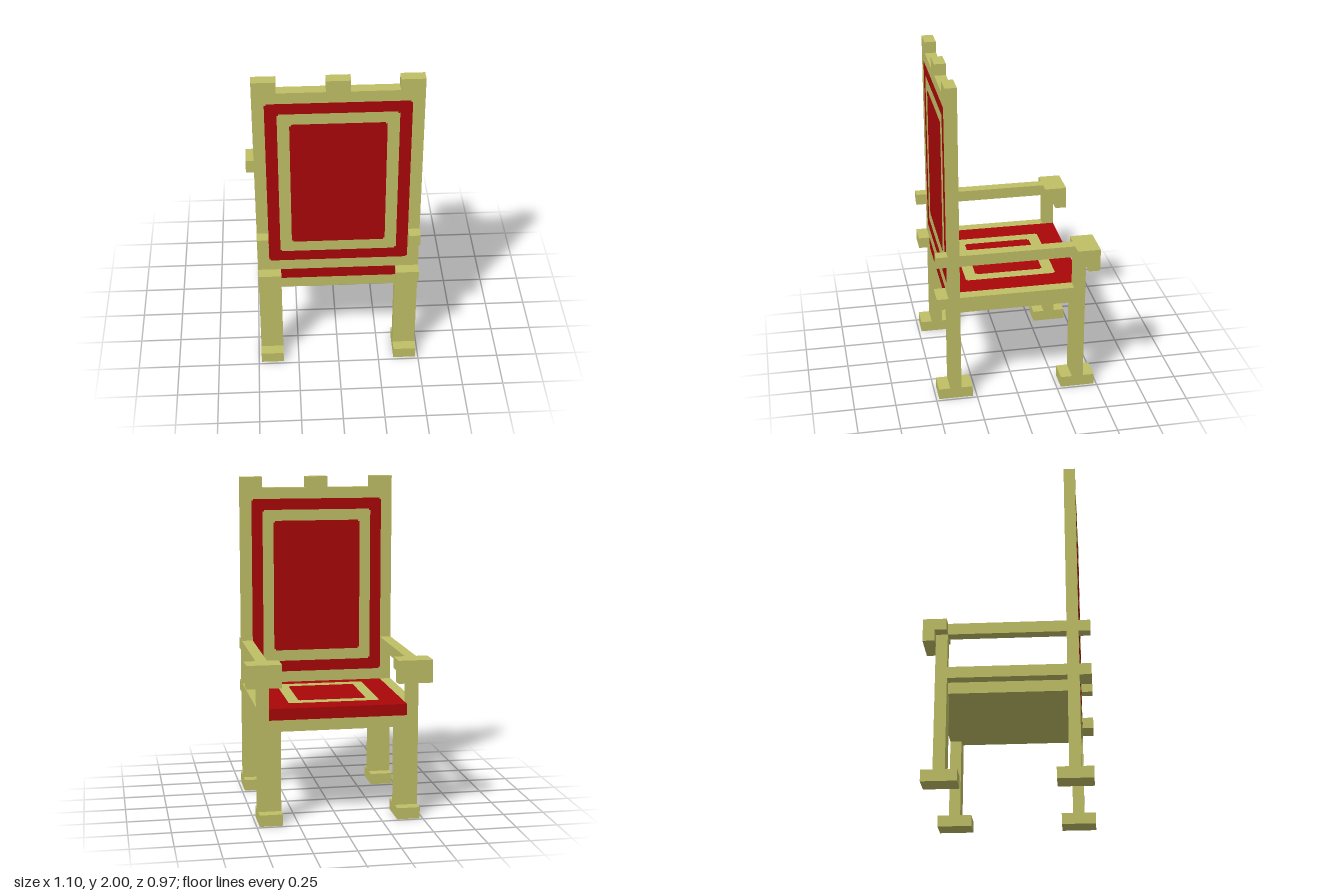
import * as THREE from 'three';

// One grid unit; the chair is 29 units tall.
const U = 2 / 29;

export function createModel() {
  const chair = new THREE.Group();
  chair.name = 'throneChair';
  const gold = new THREE.MeshStandardMaterial({ color: 0xc0bf66 });
  gold.name = 'old gold';
  const red = new THREE.MeshStandardMaterial({ color: 0xa90608 });
  red.name = 'deep red';

  const add = (name, geometry, material) => {
    const mesh = new THREE.Mesh(geometry, material);
    mesh.name = name;
    chair.add(mesh);
    return mesh;
  };

  // Box given by its extents in grid units
  const box = (name, material, [x0, x1], [y0, y1], [z0, z1]) => {
    const g = new THREE.BoxGeometry((x1 - x0) * U, (y1 - y0) * U, (z1 - z0) * U);
    g.translate((x0 + x1) / 2 * U, (y0 + y1) / 2 * U, (z0 + z1) / 2 * U);
    add(name, g, material);
  };

  // Inlay outline with a small square notch in each corner
  const inlay = (w, y0, y1, n = 0.14) => [
    [-w + n, y0], [w - n, y0], [w - n, y0 + n], [w, y0 + n],
    [w, y1 - n], [w - n, y1 - n], [w - n, y1], [-w + n, y1],
    [-w + n, y1 - n], [-w, y1 - n], [-w, y0 + n], [-w + n, y0 + n]];

  const points = list => list.map(([x, y]) => new THREE.Vector2(x * U, y * U));

  // One-unit slab from an outline with an optional hole
  const slab = (outline, hole) => {
    const shape = new THREE.Shape(points(outline));
    if (hole) shape.holes.push(new THREE.Path(points(hole)));
    return new THREE.ExtrudeGeometry(shape, { depth: U, bevelEnabled: false });
  };

  // Backrest: crenellated frame with nested inlays showing on both faces
  const crown = [[-7, 10], [7, 10], [7, 29], [5, 29], [5, 28], [1, 28], [1, 29],
    [-1, 29], [-1, 28], [-5, 28], [-5, 29], [-7, 29]];
  const nested = [
    ['backrestFrame', gold, crown, inlay(6, 11, 27)],
    ['backrestBorder', red, inlay(6, 11, 27), inlay(5, 12, 26)],
    ['backrestTrim', gold, inlay(5, 12, 26), inlay(4, 13, 25)],
    ['backrestPanel', red, inlay(4, 13, 25), null],
  ];
  for (const [name, material, outline, hole] of nested) {
    add(name, slab(outline, hole), material).position.z = 5 * U;
  }

  // Seat base and aprons
  box('seatBase', gold, [-6, 6], [8, 9], [-5, 5]);
  box('frontApron', gold, [-5, 5], [8, 9], [-6, -5]);
  box('backApron', gold, [-5, 5], [8, 9], [5, 6]);

  // Cushion: nested inlays laid flat, narrowed at the back to fit between the posts
  const cushion = [[-5, -6], [5, -6], [5, -5], [6, -5], [6, 6], [-6, 6], [-6, -5], [-5, -5]];
  const seat = [
    ['seatCushion', red, cushion, inlay(4, -4, 4)],
    ['seatTrim', gold, inlay(4, -4, 4), inlay(3, -3, 3)],
    ['seatPanel', red, inlay(3, -3, 3), null],
  ];
  for (const [name, material, outline, hole] of seat) {
    add(name, slab(outline, hole).rotateX(-Math.PI / 2), material).position.y = 9 * U;
  }

  // Parts mirrored on both sides
  for (const s of [1, -1]) {
    const side = s > 0 ? 'left' : 'right';
    const span = (a, b) => (s > 0 ? [a, b] : [-b, -a]);
    const part = (name, x, y, z) => box(side + name, gold, span(...x), y, z);

    part('BackLeg', [5, 7], [1, 10], [5, 6]);
    part('BackFoot', [5, 7], [0, 1], [4, 7]);
    part('FrontLeg', [5, 7], [1, 9], [-6, -5]);
    part('FrontFoot', [5, 7], [0, 1], [-7, -4]);
    part('ArmPost', [6, 7], [9, 13], [-6, -5]);

    part('SeatRail', [6, 7], [9, 10], [-5, 5]);
    part('SeatRailEnd', [5, 7], [9, 10], [6, 7]);
    part('Armrest', [6, 7], [13, 14], [-5, 5]);
    part('ArmrestEnd', [6, 7], [13, 14], [6, 7]);

    // Hand rest with a lip hanging over its outer edge
    part('HandRest', [5, 8], [13, 14], [-7, -5]);
    part('HandRestLip', [5, 8], [12, 13], [-7, -6]);
  }

  return chair;
}
